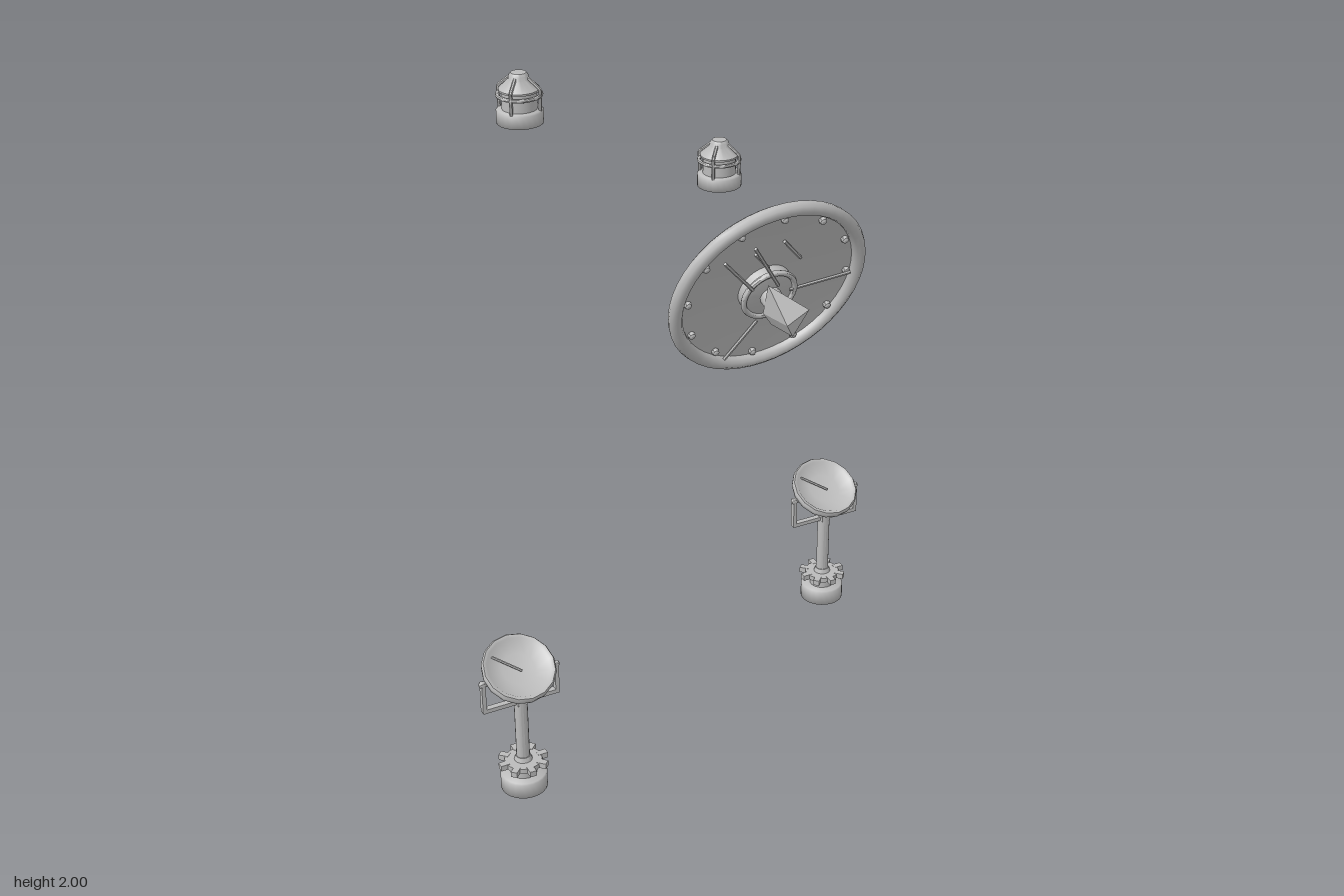
import * as THREE from 'three';
import { toCreasedNormals } from 'three/addons/utils/BufferGeometryUtils.js';
import { ConvexGeometry } from 'three/addons/geometries/ConvexGeometry.js';

export function createModel() {
  const model = new THREE.Group();
  const steel = new THREE.MeshStandardMaterial({ color: 0xbbbbbb });
  steel.name = 'greySteel';

  function add(parent, name, geometry, x = 0, y = 0, z = 0, crease = 0.7) {
    const mesh = new THREE.Mesh(toCreasedNormals(geometry, crease), steel);
    mesh.name = name;
    mesh.position.set(x, y, z);
    parent.add(mesh);
    return mesh;
  }
  function group(parent, name, x, y, z) {
    const g = new THREE.Group();
    g.name = name;
    g.position.set(x, y, z);
    parent.add(g);
    return g;
  }
  // Turned solid; profile pairs run from the bottom axis outward and up
  const lathe = (pts, sides) =>
    new THREE.LatheGeometry(pts.map(p => new THREE.Vector2(p[0], p[1])), sides);
  // Round bar between two points
  function rod(parent, name, a, b, r, sides = 6) {
    const from = new THREE.Vector3(...a), to = new THREE.Vector3(...b);
    const dir = to.clone().sub(from);
    const mesh = add(parent, name, new THREE.CylinderGeometry(r, r, dir.length(), sides), 0, 0, 0, 1.2);
    mesh.position.copy(from).add(to).multiplyScalar(0.5);
    mesh.quaternion.setFromUnitVectors(new THREE.Vector3(0, 1, 0), dir.normalize());
  }
  function ring(parent, name, radius, tube, y, z = 0) {
    add(parent, name, new THREE.TorusGeometry(radius, tube, 8, 32), 0, y, z, 1.2).rotation.x = Math.PI / 2;
  }

  // Large round reflector, tipped forward; local y is its axis, local -z its top
  const reflector = group(model, 'largeDish', 0, 1.6, 0.397);
  reflector.rotation.x = THREE.MathUtils.degToRad(110);
  add(reflector, 'dishShell', lathe([
    [0, -0.036], [0.1, -0.035], [0.19, -0.032], [0.25, -0.026], [0.276, -0.018], [0.289, -0.006],
    [0.292, 0.006], [0.287, 0.018], [0.275, 0.025], [0.262, 0.022], [0.255, 0.012], [0.253, 0.002],
    [0.18, -0.006], [0.09, -0.012], [0, -0.014]], 48), 0, 0, 0, 1.2);
  for (let i = 0; i < 12; i++) {
    const a = i * Math.PI / 6;
    add(reflector, 'rimBolt', new THREE.SphereGeometry(0.011, 8, 6),
      0.24 * Math.cos(a), 0.006, 0.24 * Math.sin(a), 1.2);
  }
  // Hub with a faceted horn
  add(reflector, 'hubDisc', lathe([[0, -0.012], [0.078, -0.012], [0.076, 0.016], [0.05, 0.022], [0, 0.024]], 32), 0, 0, 0.015);
  ring(reflector, 'hubRing', 0.076, 0.008, 0.018, 0.015);
  add(reflector, 'hornStem', new THREE.CylinderGeometry(0.03, 0.03, 0.05, 12), 0, 0.035, 0.015);
  const hornCorners = [
    [-0.03, 1.632, 0.455], [-0.03, 1.558, 0.56], [-0.01, 1.521, 0.555], [0.056, 1.572, 0.525],
    [-0.01, 1.507, 0.44], [0.045, 1.56, 0.425], [-0.03, 1.54, 0.43]];
  add(model, 'horn', new ConvexGeometry(hornCorners.map(p => new THREE.Vector3(...p))), 0, 0, 0, 0.3);
  // Struts: [x, up] to [x, up], and height above the face
  const bars = [
    [0.06, -0.01, 0.245, 0.005, 0.02], [-0.04, -0.075, -0.115, -0.2, 0.045],
    [-0.1, 0.2, 0.0, 0.045, 0.047], [-0.17, 0.15, -0.065, 0.03, 0.03],
    [-0.075, 0.15, -0.025, 0.09, 0.02], [0.02, 0.155, 0.085, 0.08, 0.0]];
  for (const [x0, u0, x1, u1, n] of bars)
    rod(reflector, 'strut', [x0, n, -u0], [x1, n, -u1], 0.005);

  // Small lamp on a post with a yoke
  function stand(name, x, z) {
    const s = group(model, name, x, 0, z);
    add(s, 'base', lathe([[0, 0], [0.07, 0], [0.07, 0.046], [0.066, 0.05], [0, 0.05]], 24), 0, 0, 0, 3);
    add(s, 'neck', new THREE.CylinderGeometry(0.04, 0.04, 0.04, 16), 0, 0.065, 0);
    add(s, 'flange', new THREE.CylinderGeometry(0.056, 0.056, 0.016, 16), 0, 0.088, 0);
    for (let i = 0; i < 8; i++) {
      const a = i * Math.PI / 4;
      add(s, 'flangeLug', new THREE.BoxGeometry(0.03, 0.018, 0.02),
        0.06 * Math.cos(a), 0.088, 0.06 * Math.sin(a)).rotation.y = -a;
    }
    add(s, 'collar', new THREE.CylinderGeometry(0.022, 0.028, 0.016, 16), 0, 0.102, 0);
    add(s, 'post', new THREE.CylinderGeometry(0.02, 0.02, 0.25, 16), 0, 0.21, 0);
    add(s, 'postHead', new THREE.BoxGeometry(0.03, 0.036, 0.034), 0, 0.315, 0);
    add(s, 'yokeBar', new THREE.BoxGeometry(0.24, 0.013, 0.018), 0, 0.306, 0);
    for (const side of [-1, 1]) {
      add(s, 'yokeArm', new THREE.BoxGeometry(0.012, 0.1, 0.018), side * 0.115, 0.353, 0);
      rod(s, 'pivot', [side * 0.085, 0.397, 0], [side * 0.116, 0.397, 0], 0.009, 10);
      add(s, 'pivotKnob', new THREE.SphereGeometry(0.011, 10, 8), side * 0.116, 0.397, 0, 1.2);
    }
    const head = group(s, 'lampHead', 0, 0.42, 0);
    head.rotation.x = THREE.MathUtils.degToRad(31);
    add(head, 'lampBowl', lathe([
      [0, -0.06], [0.045, -0.058], [0.075, -0.05], [0.092, -0.036], [0.098, -0.019], [0.109, -0.014],
      [0.111, 0], [0.106, 0.008], [0.096, 0.006], [0.092, 0.001], [0.05, -0.008], [0, -0.011]], 16), 0, 0, 0, 1.2);
    rod(head, 'needle', [-0.065, 0.001, -0.055], [0.005, 0.001, 0.012], 0.004);
  }
  stand('rightLampStand', -0.655, 0.137);
  stand('leftLampStand', 0.655, -0.35);

  // Caged lantern with a conical roof
  function lantern(name, x, y, z) {
    const l = group(model, name, x, y, z);
    add(l, 'lanternBase', lathe([[0, 0], [0.068, 0], [0.068, 0.036], [0.064, 0.041], [0, 0.042]], 24), 0, 0, 0, 3);
    add(l, 'lanternBody', new THREE.CylinderGeometry(0.051, 0.051, 0.07, 24), 0, 0.071, 0);
    add(l, 'lanternRoof', lathe([
      [0, 0.094], [0.058, 0.094], [0.059, 0.1], [0.03, 0.127],
      [0.028, 0.139], [0.022, 0.146], [0, 0.147]], 24));
    ring(l, 'cageRing', 0.062, 0.006, 0.082);
    for (let i = 0; i < 4; i++) {
      const a = Math.PI / 4 + i * Math.PI / 2, c = Math.cos(a), s = Math.sin(a);
      const pts = [[0.062, 0.038], [0.064, 0.1], [0.056, 0.109], [0.026, 0.133]];
      for (let k = 0; k < 3; k++) {
        const [r0, y0] = pts[k], [r1, y1] = pts[k + 1];
        rod(l, 'cageBar', [r0 * c, y0, r0 * s], [r1 * c, y1, r1 * s], 0.005);
      }
    }
  }
  lantern('rightLantern', -0.355, 1.857, -0.406);
  lantern('leftLantern', 0.33, 1.506, -0.494);

  return model;
}
